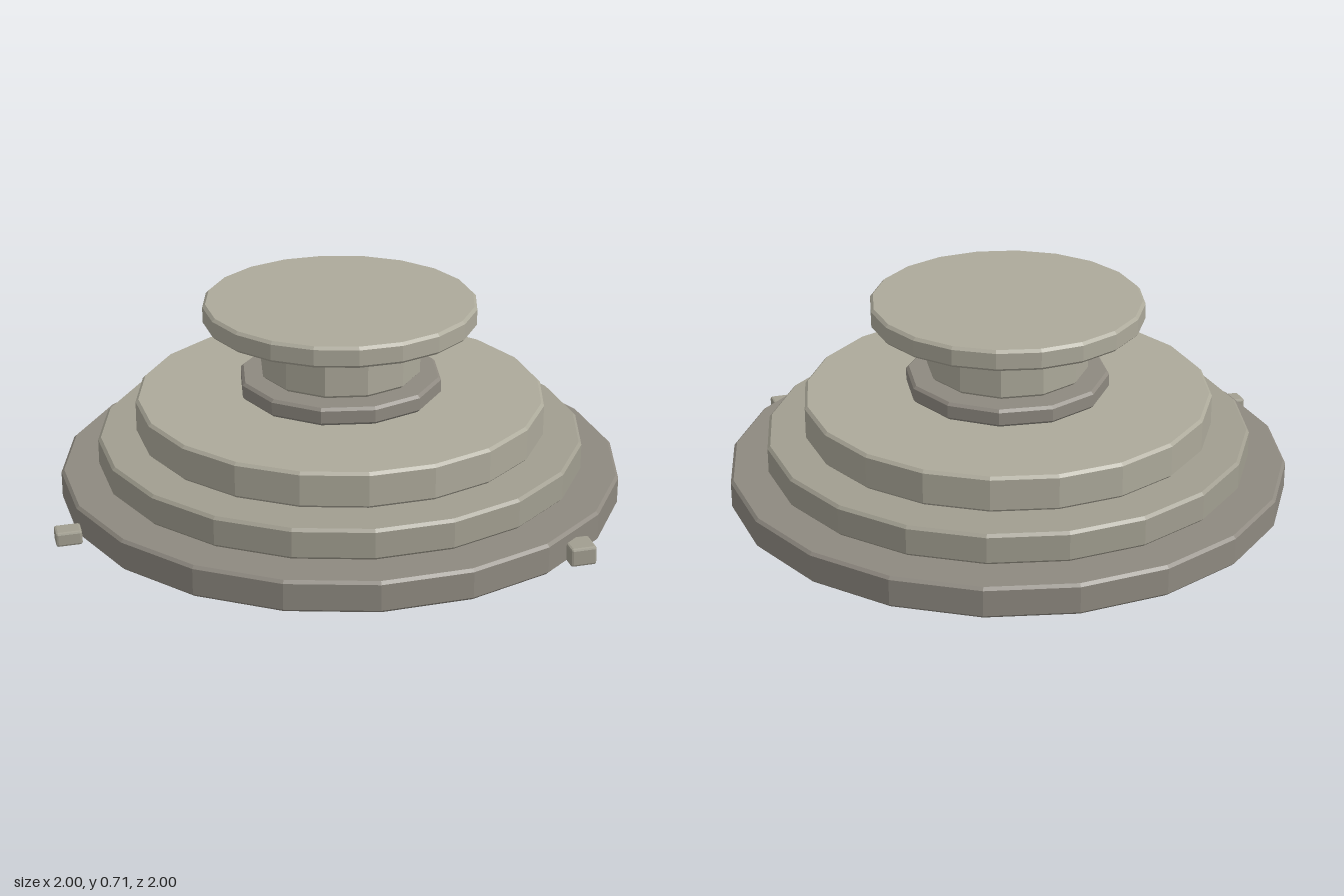
import * as THREE from 'three';
import { RoundedBoxGeometry } from 'three/addons/geometries/RoundedBoxGeometry.js';

// Weathered stone tones, from dark to light
const stone = (color) => new THREE.MeshStandardMaterial({ color, flatShading: true });
const darkStone = stone(0x8e8980);
const midStone = stone(0xa19e90);
const lightStone = stone(0xaca99a);

// Closed faceted disc with chamfered rims
function disc(name, material, radius, y0, y1, sides) {
  const c = 0.01;
  const profile = [
    [0, y0], [radius - c, y0], [radius, y0 + c],
    [radius, y1 - c], [radius - c, y1], [0, y1],
  ].map(([r, y]) => new THREE.Vector2(r, y));
  const mesh = new THREE.Mesh(new THREE.LatheGeometry(profile, sides), material);
  mesh.name = name;
  return mesh;
}

// Small chamfered block beside the base
function block(name, size, position, rotation) {
  const mesh = new THREE.Mesh(new RoundedBoxGeometry(...size, 1, 0.008), midStone);
  mesh.name = name;
  mesh.position.set(...position);
  mesh.rotation.set(...rotation);
  return mesh;
}

export function createModel() {
  const model = new THREE.Group();
  model.name = 'steppedPedestal';

  // Stacked tiers, with narrow gaps between them
  model.add(
    disc('baseStep', darkStone, 1.0, 0, 0.112, 20),
    disc('middleStep', midStone, 0.865, 0.12, 0.23, 20),
    disc('upperStep', lightStone, 0.728, 0.24, 0.368, 20),
    disc('collar', darkStone, 0.362, 0.376, 0.44, 12),
    disc('neck', lightStone, 0.287, 0.446, 0.63, 12),
    disc('topPlate', lightStone, 0.484, 0.636, 0.711, 20),
  );

  // Two loose blocks against the rim
  model.add(
    block('rightBlock', [0.09, 0.052, 0.072], [-0.82, 0.035, 0.657], [0, 0.42, 0.02]),
    block('leftBlock', [0.09, 0.066, 0.094], [0.902, 0.04, 0.474], [0, 0.42, 0.02]),
  );

  return model;
}
